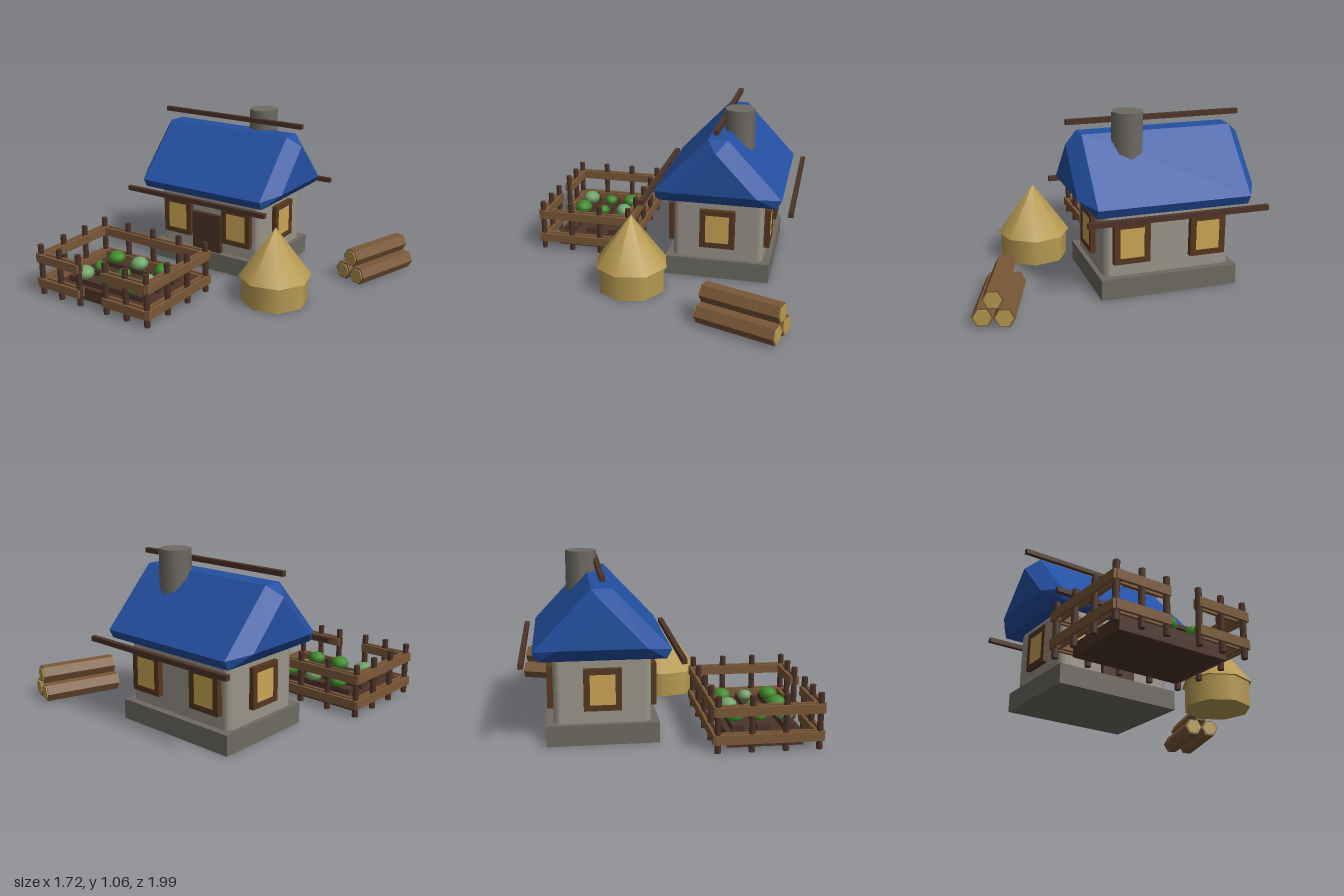
import * as THREE from 'three';
import { RoundedBoxGeometry } from 'three/addons/geometries/RoundedBoxGeometry.js';
import { ConvexGeometry } from 'three/addons/geometries/ConvexGeometry.js';

const mat = (name, color) => Object.assign(new THREE.MeshStandardMaterial({ color }), { name });
const M = {
  roof: mat('roof blue', 0x2450a2),
  wall: mat('wall plaster', 0x9a948a),
  stone: mat('stone grey', 0x6e6a63),
  straw: mat('straw', 0xb89b52),
  glass: mat('window glow', 0xcba654),
  trim: mat('window trim brown', 0x55371f),
  dark: mat('dark timber', 0x4c3328),
  plank: mat('plank brown', 0x7a5838),
  green: mat('leaf green', 0x3f8a2a),
  pale: mat('pale leaf green', 0x70a468),
};

function add(parent, name, geometry, material, x = 0, y = 0, z = 0) {
  const mesh = new THREE.Mesh(geometry, material);
  mesh.name = name;
  mesh.position.set(x, y, z);
  parent.add(mesh);
  return mesh;
}
const box = (parent, name, material, w, h, d, x, y, z) =>
  add(parent, name, new THREE.BoxGeometry(w, h, d), material, x, y, z);

function group(parent, name, x = 0, y = 0, z = 0, turn = 0) {
  const g = new THREE.Group();
  g.name = name;
  g.position.set(x, y, z);
  g.rotation.y = turn;
  parent.add(g);
  return g;
}

// Window facing +z: four frame bars round a recessed pane
function addWindow(parent, x, z, turn) {
  const g = group(parent, 'window', x, 0.333, z, turn);
  for (const s of [-1, 1]) {
    box(g, 'frameSide', M.trim, 0.036, 0.25, 0.045, s * 0.092, 0, 0);
    box(g, 'frameBar', M.trim, 0.148, 0.034, 0.045, 0, s * 0.108, 0);
  }
  box(g, 'pane', M.glass, 0.148, 0.182, 0.008, 0, 0, 0.014);
}

function addHouse(root) {
  const g = group(root, 'house', -0.257, 0, -0.35, 0.149);
  box(g, 'foundation', M.stone, 0.845, 0.125, 0.66, 0, 0.0625, 0);
  add(g, 'walls', new RoundedBoxGeometry(0.79, 0.48, 0.57, 1, 0.04), M.wall, 0, 0.3, 0);
  box(g, 'door', M.dark, 0.225, 0.29, 0.05, 0, 0.245, 0.29);

  // Windows: two on each long side, one at each end
  for (const s of [-1, 1]) {
    addWindow(g, s * 0.235, 0.298, 0);
    addWindow(g, s * 0.235, -0.298, Math.PI);
    addWindow(g, s * 0.403, 0, s * Math.PI / 2);
  }

  // Gabled roof block with every edge chamfered
  const points = [];
  for (const s of [-1, 1]) {
    points.push(new THREE.Vector3(s * 0.543, 0.865, 0));
    for (const t of [-1, 1]) {
      points.push(new THREE.Vector3(s * 0.543, 0.6, t * 0.252));
      for (const [z, y] of [[0.06, 0.93], [0.395, 0.575], [0.366, 0.52]]) {
        points.push(new THREE.Vector3(s * 0.463, y, t * z));
      }
    }
  }
  add(g, 'roof', new ConvexGeometry(points), M.roof);

  // Ridge and eave beams
  for (const [y, z] of [[0.995, 0], [0.52, 0.455], [0.52, -0.455]]) {
    box(g, 'beam', M.dark, 1.085, 0.03, 0.03, 0, y, z);
  }
  add(g, 'chimney', new THREE.CylinderGeometry(0.097, 0.097, 0.46, 8), M.stone, 0.198, 0.83, -0.093);
}

function addHaystack(root) {
  const g = group(root, 'haystack', 0.45, 0, -0 + 0.04);
  add(g, 'strawBase', new THREE.CylinderGeometry(0.212, 0.212, 0.17, 8), M.straw, 0, 0.085, 0);
  add(g, 'strawCone', new THREE.ConeGeometry(0.23, 0.315, 8), M.straw, 0, 0.3225, 0);
}

function addLogs(root) {
  const g = group(root, 'logPile', 0.695, 0, -0.737, -0.172);
  const hex = (r, length) =>
    new THREE.CylinderGeometry(r, r, length, 6).toNonIndexed().rotateY(Math.PI / 6).rotateX(Math.PI / 2);
  const bark = hex(0.061, 0.485);
  bark.computeVertexNormals();
  const cut = hex(0.051, 0.008);
  for (const [x, y] of [[-0.06, 0.063], [0.06, 0.063], [0, 0.168]]) {
    add(g, 'log', bark, M.plank, x, y, 0);
    for (const s of [-1, 1]) add(g, 'cutEnd', cut, M.straw, x, y, s * 0.2455);
  }
}

function addGarden(root) {
  const g = group(root, 'garden', -0.323, 0, 0.6, 0.15);
  box(g, 'soilBed', M.dark, 0.698, 0.08, 0.45, 0, 0.04, 0);

  // Planted rows, with a size and colour for each cabbage
  const leaf = new THREE.IcosahedronGeometry(1, 1);
  const rows = [
    [[0.057, 'green'], [0.057, 'pale'], [0.056, 'green']],
    [[0.044, 'green'], [0.041, 'green'], [0.044, 'pale']],
    [[0.06, 'pale'], [0.06, 'green'], [0.056, 'green']],
  ];
  rows.forEach((row, r) => {
    const z = (r - 1) * 0.152;
    box(g, 'plantingRow', M.dark, 0.6, 0.04, 0.075, 0, 0.095, z);
    row.forEach(([size, colour], c) => {
      const cabbage = add(g, 'cabbage', leaf, M[colour], (c - 1) * 0.192, 0.11 + size * 0.6, z);
      cabbage.scale.set(size, size * 0.8, size);
    });
  });

  // Fence posts: back, front with a gate gap, then the sides
  const X = 0.42, Z = 0.297;
  const posts = [];
  for (const x of [-X, -X / 2, 0, X / 2, X]) posts.push([x, -Z]);
  for (const x of [0.107, 0.263, X]) posts.push([x, Z], [-x, Z]);
  for (const z of [-Z / 3, Z / 3]) posts.push([-X, z], [X, z]);
  const post = new THREE.CylinderGeometry(0.019, 0.019, 0.335, 6);
  for (const [x, z] of posts) add(g, 'fencePost', post, M.dark, x, 0.1675, z);

  // Paired rails on both faces of the posts, at two heights
  for (const y of [0.0825, 0.2475]) {
    for (const o of [-0.019, 0.019]) {
      box(g, 'backRail', M.plank, 2 * X + 0.04, 0.055, 0.018, 0, y, -Z + o);
      for (const s of [-1, 1]) {
        box(g, 'frontRail', M.plank, 0.335, 0.055, 0.018, s * 0.263, y, Z + o);
        box(g, 'sideRail', M.plank, 0.018, 0.055, 2 * Z + 0.04, s * X + o, y, 0);
      }
    }
  }
}

export function createModel() {
  const root = new THREE.Group();
  root.name = 'cottage';
  addHouse(root);
  addHaystack(root);
  addLogs(root);
  addGarden(root);
  return root;
}
